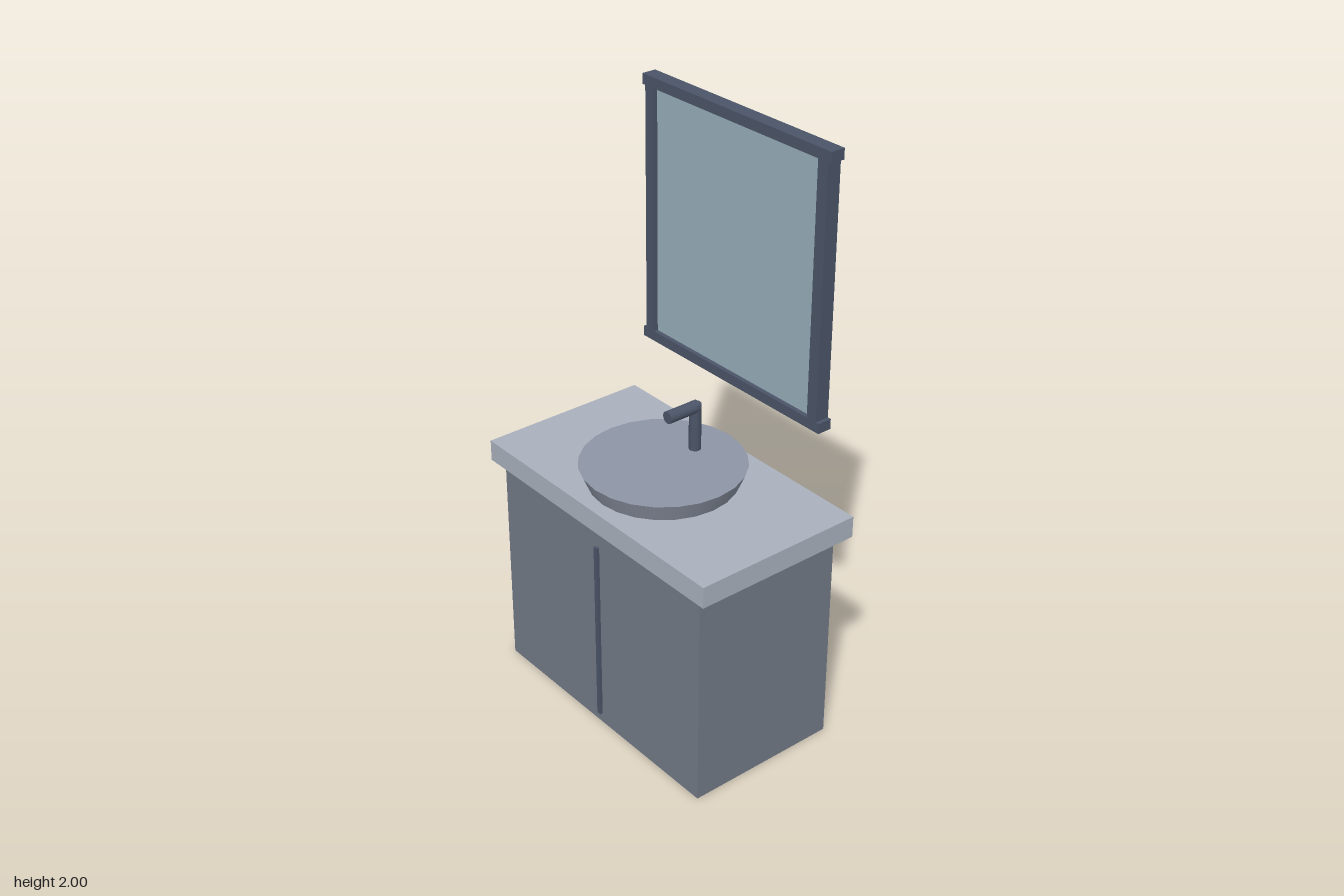
import * as THREE from 'three';

export function createModel() {
  const model = new THREE.Group();
  model.name = 'washbasinVanity';

  const paint = (color) => new THREE.MeshStandardMaterial({ color });
  const cabinetGrey = paint(0x727a87);
  const stone = paint(0xa9b1bd);
  const ceramic = paint(0x8e95a5);
  const darkMetal = paint(0x4b5568);
  const glass = paint(0x97adb9);

  function add(name, geometry, material, x, y, z) {
    const mesh = new THREE.Mesh(geometry, material);
    mesh.name = name;
    mesh.position.set(x, y, z);
    model.add(mesh);
    return mesh;
  }

  // Box given by its lower and upper corners
  function addBox(name, material, [x0, y0, z0], [x1, y1, z1]) {
    return add(name, new THREE.BoxGeometry(x1 - x0, y1 - y0, z1 - z0), material,
      (x0 + x1) / 2, (y0 + y1) / 2, (z0 + z1) / 2);
  }

  // Cabinet, door handle and counter
  addBox('cabinet', cabinetGrey, [-0.495, 0, -0.265], [0.495, 0.765, 0.275]);
  addBox('doorHandle', darkMetal, [-0.008, 0.035, 0.275], [0.008, 0.69, 0.285]);
  addBox('counter', stone, [-0.54, 0.765, -0.3], [0.54, 0.838, 0.3]);

  // Tapered vessel basin
  add('basin', new THREE.CylinderGeometry(0.27, 0.243, 0.063, 24), ceramic, 0, 0.8695, 0.01);

  // Tap: upright post with a horizontal spout
  add('tapPost', new THREE.CylinderGeometry(0.02, 0.02, 0.165, 16), darkMetal, 0, 0.9825, -0.119);
  const spout = add('tapSpout', new THREE.CylinderGeometry(0.021, 0.021, 0.12, 16), darkMetal, 0, 1.053, -0.066);
  spout.rotation.x = Math.PI / 2;

  // Mirror: rails overhang the side posts, glass sits recessed between them
  for (const [name, y] of [['mirrorBottomRail', 1.095], ['mirrorTopRail', 1.965]]) {
    addBox(name, darkMetal, [-0.421, y, -0.3], [0.421, y + 0.035, -0.25]);
  }
  for (const [name, x] of [['mirrorRightPost', -0.388], ['mirrorLeftPost', 0.388]]) {
    addBox(name, darkMetal, [x - 0.02, 1.13, -0.3], [x + 0.02, 1.965, -0.25]);
  }
  addBox('mirrorGlass', glass, [-0.37, 1.13, -0.285], [0.37, 1.965, -0.265]);

  return model;
}
